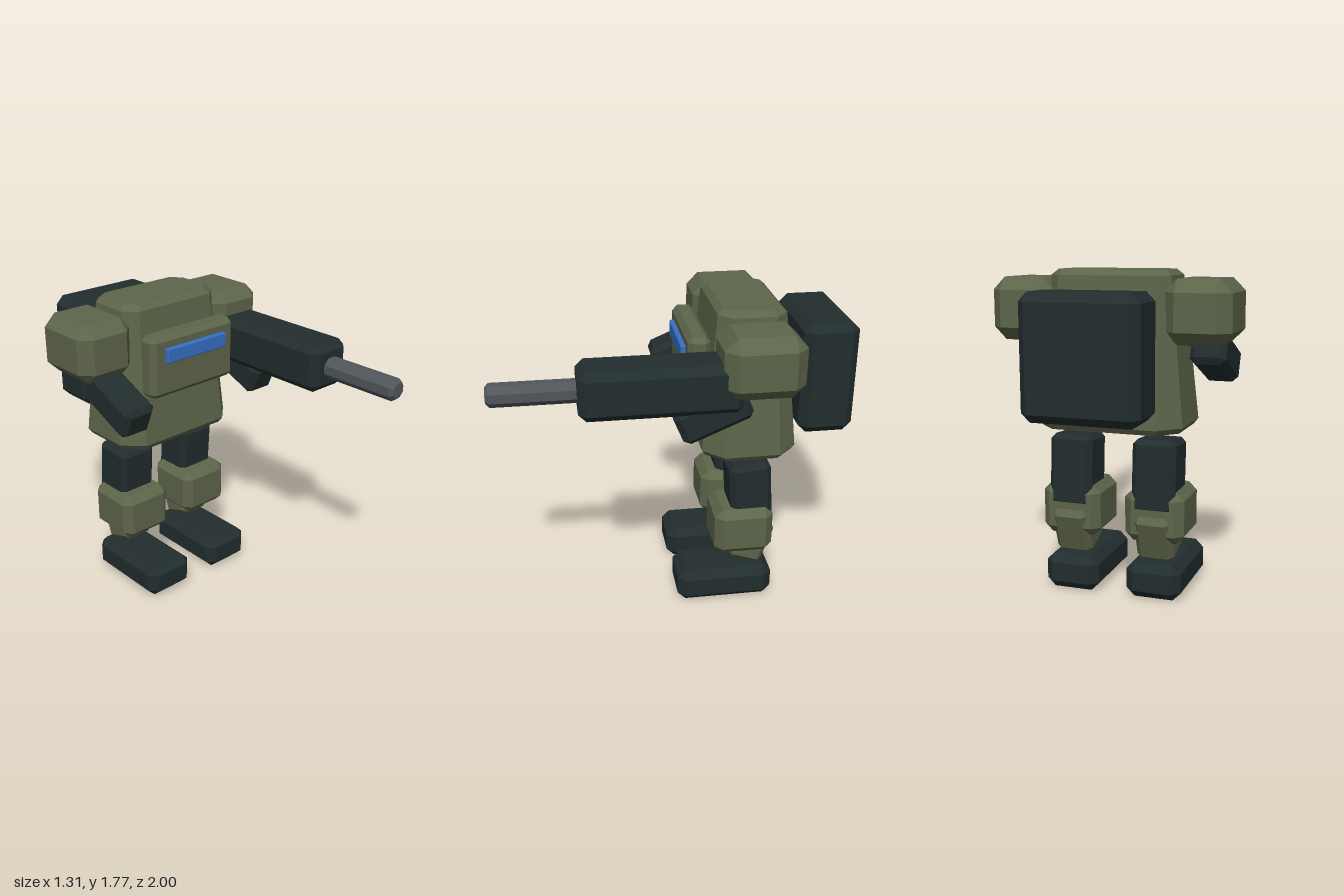
import * as THREE from 'three';
import { ConvexGeometry } from 'three/addons/geometries/ConvexGeometry.js';

const paint = (name, color) => {
  const m = new THREE.MeshStandardMaterial({ color });
  m.name = name;
  return m;
};

// Box with every edge cut flat by c
function chamferBox(w, h, d, c) {
  const pts = [];
  for (const x of [-w / 2, w / 2]) for (const y of [-h / 2, h / 2]) for (const z of [-d / 2, d / 2]) {
    const ix = x - Math.sign(x) * c, iy = y - Math.sign(y) * c, iz = z - Math.sign(z) * c;
    pts.push(new THREE.Vector3(x, iy, iz), new THREE.Vector3(ix, y, iz), new THREE.Vector3(ix, iy, z));
  }
  return new ConvexGeometry(pts);
}

// Stack of corner-cut rectangles: [y, halfX, halfZ, cut]
function taperedHull(rings) {
  const pts = [];
  for (const [y, hx, hz, c] of rings)
    for (const sx of [-1, 1]) for (const sz of [-1, 1])
      pts.push(new THREE.Vector3(sx * (hx - c), y, sz * hz), new THREE.Vector3(sx * hx, y, sz * (hz - c)));
  return new ConvexGeometry(pts);
}

export function createModel() {
  const root = new THREE.Group();
  root.name = 'walkerRobot';
  const olive = paint('olive armour', 0x5d654a);
  const dark = paint('dark slate', 0x222d2e);
  const steel = paint('gun steel', 0x50565a);
  const blue = paint('visor blue', 0x3670c4);

  const add = (name, geometry, material, x, y, z, tilt = 0) => {
    const mesh = new THREE.Mesh(geometry, material);
    mesh.name = name;
    mesh.position.set(x, y, z);
    mesh.rotation.x = tilt;
    root.add(mesh);
    return mesh;
  };

  // Torso, chest plate, visor and backpack
  add('torso', taperedHull([
    [0.935, 0.385, 0.245, 0.1], [0.965, 0.407, 0.265, 0.11],
    [1.74, 0.33, 0.187, 0.07], [1.77, 0.297, 0.155, 0.06],
  ]), olive, 0, 0, -0.405);
  add('chestPlate', chamferBox(0.61, 0.36, 0.125, 0.03), olive, 0, 1.45, -0.118);
  add('visor', chamferBox(0.435, 0.085, 0.035, 0.006), blue, 0, 1.52, -0.047);
  add('backpack', chamferBox(0.63, 0.645, 0.31, 0.047), dark, 0, 1.35, -0.845);

  // Arms and legs, mirrored
  for (const [side, s] of [['left', 1], ['right', -1]]) {
    add(side + 'Shoulder', chamferBox(0.355, 0.335, 0.43, 0.068), olive, s * 0.48, 1.56, -0.405);
    add(side + 'Forearm', chamferBox(0.198, 0.198, 0.4, 0.032), dark, s * 0.476, 1.297, -0.153, 0.4);
    add(side + 'Thigh', chamferBox(0.243, 0.4, 0.24, 0.028), dark, s * 0.237, 0.675, -0.423, 0.07);
    add(side + 'Knee', chamferBox(0.333, 0.287, 0.34, 0.046), olive, s * 0.238, 0.462, -0.381);
    add(side + 'Shin', chamferBox(0.21, 0.275, 0.206, 0.03), olive, s * 0.237, 0.36, -0.441, -0.335);
    add(side + 'Foot', chamferBox(0.31, 0.2, 0.56, 0.046), dark, s * 0.236, 0.1, -0.28);
  }

  // Arm cannon with an eight-sided, bevelled barrel
  add('cannonBody', chamferBox(0.275, 0.27, 0.855, 0.042), dark, 0.472, 1.45, 0.118);
  const profile = [[0, 0.5], [0.063, 0.5], [0.063, 0.98], [0.043, 1], [0, 1]]
    .map(([r, y]) => new THREE.Vector2(r, y));
  const barrel = new THREE.LatheGeometry(profile, 8, Math.PI / 8).toNonIndexed();
  barrel.computeVertexNormals();
  add('cannonBarrel', barrel, steel, 0.47, 1.45, 0, Math.PI / 2);

  return root;
}
